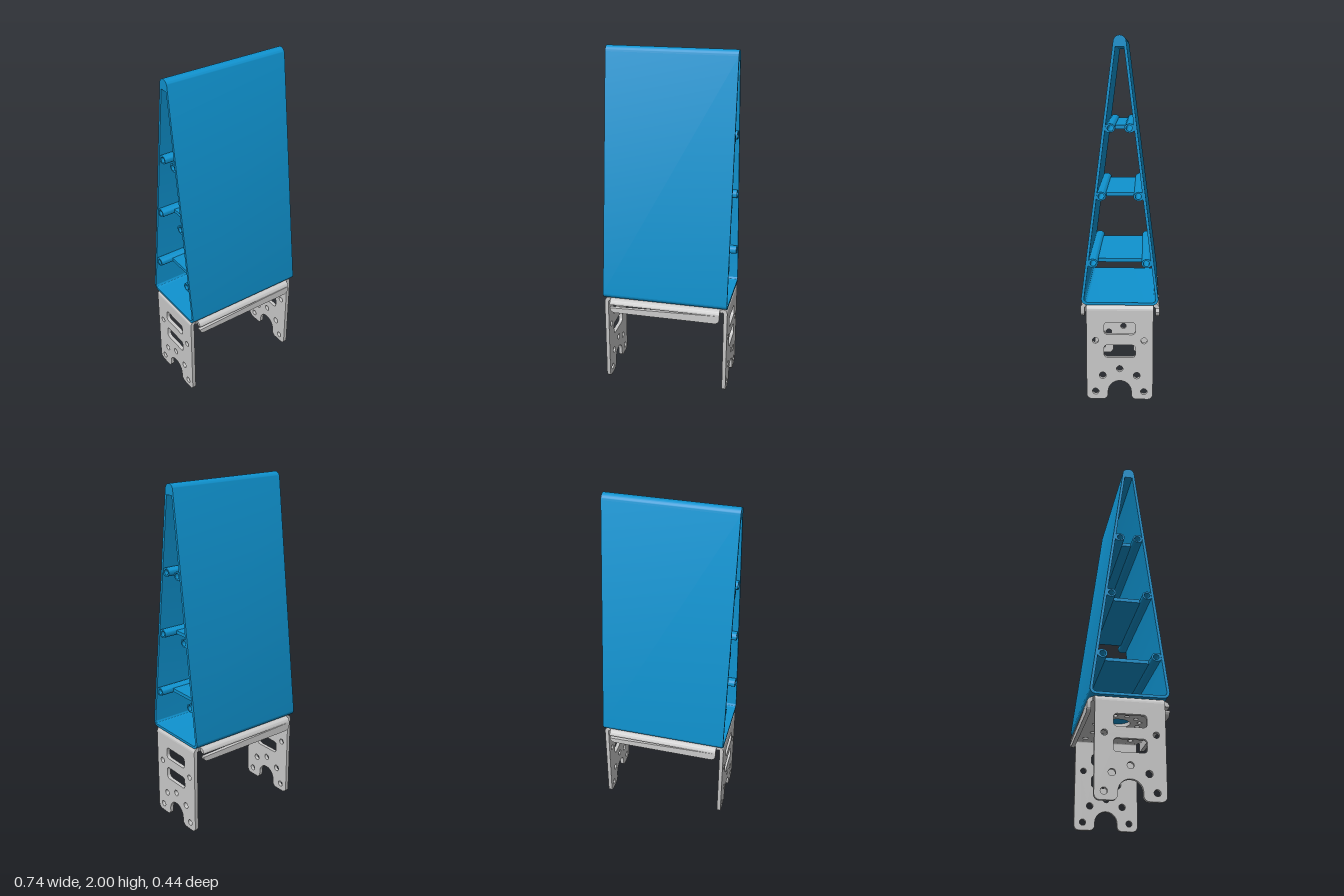
import * as THREE from 'three';
import { toCreasedNormals } from 'three/addons/utils/BufferGeometryUtils.js';

const blue = new THREE.MeshStandardMaterial({ color: 0x0f93d0 });
const grey = new THREE.MeshStandardMaterial({ color: 0xcccccc });
const T = 0.022; // sheet thickness
const BEND = 0.03; // outer bend radius
const TOP = 0.548; // top of the bracket

// Extrude a shape centred on its depth, smooth on curves and sharp on edges
function extrude(shape, depth) {
  const geo = new THREE.ExtrudeGeometry(shape, { depth, bevelEnabled: false, curveSegments: 16 });
  geo.translate(0, 0, -depth / 2);
  return toCreasedNormals(geo, 0.5);
}

function add(parent, name, geo, material) {
  const mesh = new THREE.Mesh(geo, material);
  mesh.name = name;
  parent.add(mesh);
  return mesh;
}

function circle(x, y, r) {
  const p = new THREE.Path();
  p.absarc(x, y, r, 0, Math.PI * 2);
  return p;
}

// Rounded slot centred on (x, y)
function slot(x, y, w, h, r) {
  const p = new THREE.Path();
  const a = w / 2 - r, b = h / 2 - r, q = Math.PI / 2;
  p.absarc(x + a, y + b, r, 0, q);
  p.absarc(x - a, y + b, r, q, 2 * q);
  p.absarc(x - a, y - b, r, 2 * q, 3 * q);
  p.absarc(x + a, y - b, r, 3 * q, 4 * q);
  p.closePath();
  return p;
}

// Hollow wedge, open at both ends, with braces inside
function createWedge() {
  const g = new THREE.Group();
  g.name = 'wedge';
  const zc = 0.178, yb = 0.584, yt = 1.966, R = 0.034, r = 0.019;
  const a = Math.atan2(zc, yt - yb);
  const shell = new THREE.Shape();
  shell.absarc(zc, yb, R, -Math.PI / 2, a);
  shell.absarc(0, yt, R, a, Math.PI - a);
  shell.absarc(-zc, yb, R, Math.PI - a, Math.PI * 1.5);
  shell.closePath();
  const hollow = new THREE.Path();
  hollow.absarc(zc, yb, r, -Math.PI / 2, a);
  hollow.lineTo(0.0224, 1.94);
  hollow.lineTo(-0.0224, 1.94);
  hollow.absarc(-zc, yb, r, Math.PI - a, Math.PI * 1.5);
  hollow.closePath();
  shell.holes.push(hollow);
  add(g, 'wedgeShell', extrude(shell, 0.738).rotateY(Math.PI / 2), blue);

  // Braces: a web between two screw tubes, set back from the open ends
  for (const [y, z] of [[0.785, 0.145], [1.155, 0.1], [1.52, 0.05]]) {
    add(g, 'braceWeb', new THREE.BoxGeometry(0.58, 0.02, 2 * z - 0.042), blue).position.y = y;
    for (const s of [-1, 1]) {
      const tube = new THREE.Shape();
      tube.absellipse(s * 0.003, 0, 0.029, 0.024, 0, Math.PI * 2);
      tube.holes.push(circle(0, 0, 0.016));
      // the turn about y maps shape x to -z
      add(g, 'screwTube', extrude(tube, 0.73).rotateY(Math.PI / 2), blue).position.set(0, y, -s * z);
    }
  }
  return g;
}

// Flange facing +x: quarter bend at the top and a flat sheet below
function createFlange(name, sheet, reach, length, turn) {
  const g = new THREE.Group();
  g.name = name;
  const bend = new THREE.Shape();
  bend.absarc(0, 0, BEND, 0, Math.PI / 2);
  bend.absarc(0, 0, BEND - T, Math.PI / 2, 0, true);
  bend.closePath();
  add(g, name + 'Bend', extrude(bend, length), grey).position.set(reach - BEND, TOP - BEND, 0);
  add(g, name + 'Sheet', extrude(sheet, T).rotateY(Math.PI / 2), grey).position.x = reach - T / 2;
  g.rotation.y = turn;
  return g;
}

// Leg outline with rounded feet and an arch between them
function legShape() {
  const s = new THREE.Shape();
  const w = 0.185, y = TOP - BEND, n = 0.065, f = 0.03;
  s.moveTo(-w, y);
  s.lineTo(-w, f);
  s.absarc(-w + f, f, f, Math.PI, Math.PI * 1.5);
  s.absarc(-n - f, f, f, -Math.PI / 2, 0);
  s.absarc(0, 0.045, n, Math.PI, 0, true);
  s.absarc(n + f, f, f, Math.PI, Math.PI * 1.5);
  s.absarc(w - f, f, f, -Math.PI / 2, 0);
  s.lineTo(w, y);
  s.closePath();
  s.holes.push(slot(0, 0.415, 0.175, 0.07, 0.02), slot(0, 0.283, 0.175, 0.073, 0.02), circle(0, 0.18, 0.018));
  for (const k of [-1, 1]) {
    s.holes.push(circle(k * 0.135, 0.345, 0.017), circle(k * 0.095, 0.14, 0.019), circle(k * 0.135, 0.045, 0.018));
  }
  return s;
}

function lipShape() {
  const s = new THREE.Shape();
  const w = 0.328, y = TOP - BEND, b = 0.468, f = 0.03;
  s.moveTo(-w, y);
  s.absarc(-w + f, b + f, f, Math.PI, Math.PI * 1.5);
  s.absarc(w - f, b + f, f, -Math.PI / 2, 0);
  s.lineTo(w, y);
  s.closePath();
  return s;
}

// Folded sheet bracket with legs at the sides and lips front and back
function createBracket() {
  const g = new THREE.Group();
  g.name = 'bracket';
  const px = 0.369 - BEND, pz = 0.22 - BEND;
  const plate = new THREE.Shape();
  plate.moveTo(-px, -pz);
  plate.lineTo(px, -pz);
  plate.lineTo(px, pz);
  plate.lineTo(-px, pz);
  plate.closePath();
  plate.holes.push(circle(0, 0, 0.073));
  for (let i = 0; i < 12; i++) {
    const t = ((i + 0.5) * Math.PI) / 6;
    plate.holes.push(circle(0.125 * Math.cos(t), 0.125 * Math.sin(t), 0.014));
  }
  for (const s of [-1, 1]) {
    plate.holes.push(slot(s * 0.23, 0, 0.065, 0.14, 0.02));
    for (const k of [-1, 1]) {
      plate.holes.push(circle(s * 0.29, k * 0.135, 0.017), circle(s * 0.18, k * 0.11, 0.015));
    }
  }
  add(g, 'topPlate', extrude(plate, T).rotateX(-Math.PI / 2), grey).position.y = TOP - T / 2;
  g.add(createFlange('leftLeg', legShape(), 0.369, 0.37, 0));
  g.add(createFlange('rightLeg', legShape(), 0.369, 0.37, Math.PI));
  g.add(createFlange('frontLip', lipShape(), 0.22, 0.656, -Math.PI / 2));
  g.add(createFlange('backLip', lipShape(), 0.22, 0.656, Math.PI / 2));
  return g;
}

export function createModel() {
  const model = new THREE.Group();
  model.name = 'wedgeOnBracket';
  model.add(createWedge(), createBracket());
  return model;
}
